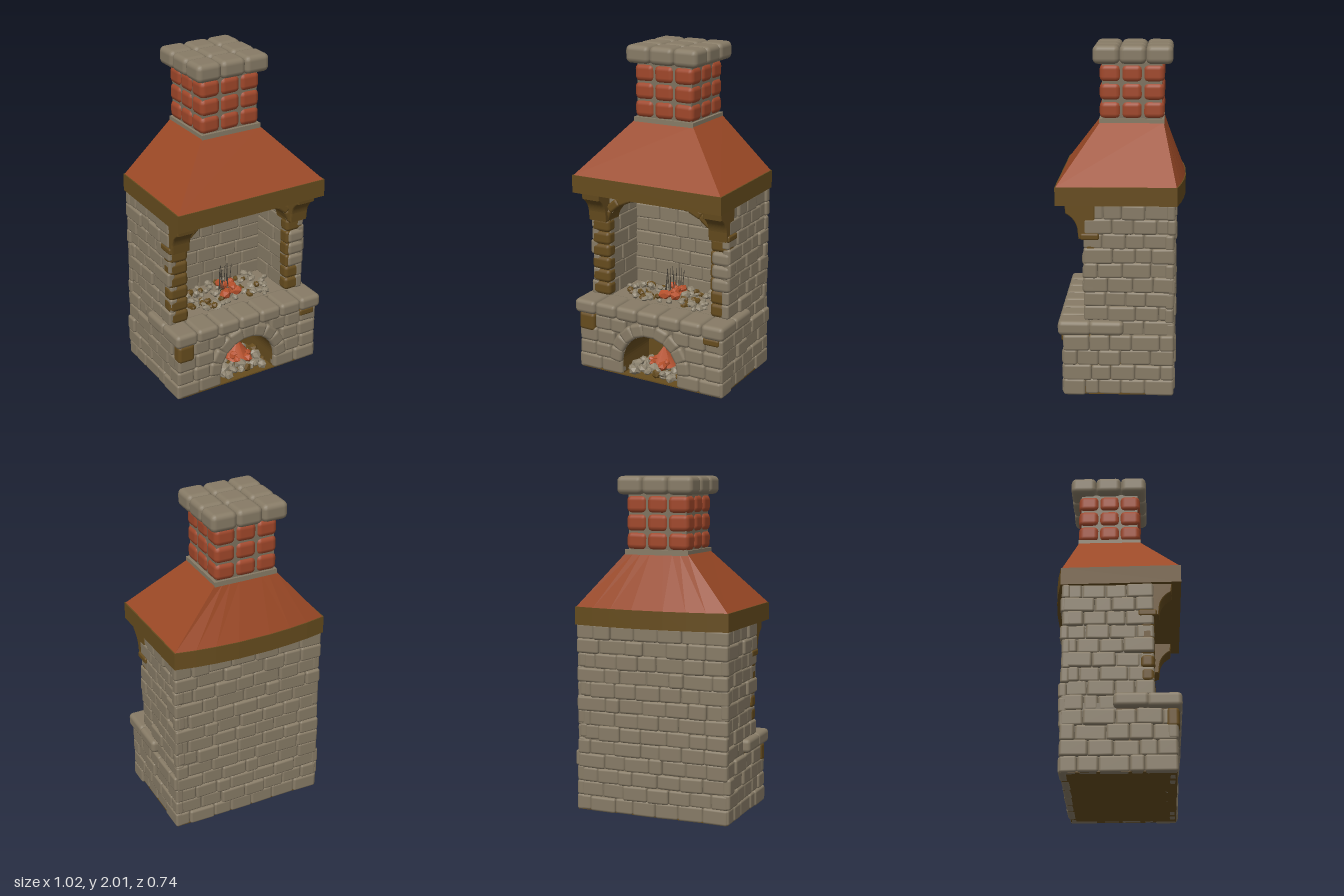
import * as THREE from 'three';
import { mergeGeometries } from 'three/addons/utils/BufferGeometryUtils.js';
import { RoundedBoxGeometry } from 'three/addons/geometries/RoundedBoxGeometry.js';

let seed = 7;
const rnd = (a = 0, b = 1) => {
  seed = (seed * 16807) % 2147483647;
  return a + (b - a) * (seed / 2147483647);
};
const mat = (name, color, side = THREE.FrontSide) => {
  const m = new THREE.MeshStandardMaterial({ color, side });
  m.name = name;
  return m;
};

// One rounded stone between two corners, with a slight tilt
function block(x0, x1, y0, y1, z0, z1, tilt = 0.02) {
  const w = x1 - x0, h = y1 - y0, d = z1 - z0;
  const g = new RoundedBoxGeometry(w, h, d, 2, Math.min(w, h, d) * 0.3);
  g.rotateZ(rnd(-tilt, tilt));
  g.translate((x0 + x1) / 2, (y0 + y1) / 2, (z0 + z1) / 2);
  return g;
}

// Courses of uneven stones in the XY plane, outer faces near z = 0
function panel(w, h, rows, len = 0.13, depth = 0.05, bump = 0.009) {
  const list = [], rh = h / rows;
  for (let r = 0; r < rows; r++) {
    const n = Math.max(1, Math.round(w / len));
    const cuts = [0];
    for (let i = 1; i < n; i++) cuts.push((i + (r % 2 ? 0.2 : -0.2) + rnd(-0.22, 0.22)) * w / n);
    cuts.push(w);
    for (let i = 0; i < n; i++) {
      const lift = rnd(-bump, bump);
      list.push(block(cuts[i], cuts[i + 1], r * rh - rnd(0, 0.004), (r + 1) * rh + rnd(0, 0.006), lift - depth, lift, 0.025));
    }
  }
  return mergeGeometries(list);
}

// Low heap of small irregular lumps
function heap(n, w, y, z0, z1, size) {
  const list = [];
  for (let i = 0; i < n; i++) {
    const g = new THREE.IcosahedronGeometry(rnd(size * 0.6, size), 0);
    g.scale(rnd(0.7, 1.5), rnd(0.6, 1.1), rnd(0.7, 1.4));
    g.rotateY(rnd(0, 6)).rotateZ(rnd(-0.6, 0.6));
    g.translate(rnd(-w, w), y + rnd(-0.01, 0.03), rnd(z0, z1));
    list.push(g);
  }
  return mergeGeometries(list);
}

export function createModel() {
  const root = new THREE.Group();
  root.name = 'stoneFireplace';
  const stone = mat('stone', 0x877b66);
  const mortar = mat('mortar', 0x7d725f);
  const wood = mat('brownStone', 0x664c1e);
  const roof = mat('hoodOrange', 0x9c4926, THREE.DoubleSide);
  const brick = mat('brick', 0xa0472a);
  const ember = mat('ember', 0xb5502b);
  const ash = mat('ash', 0x8d836f);
  const soot = mat('soot', 0x4c463c);
  const add = (name, geo, material) => {
    const m = new THREE.Mesh(geo, material);
    m.name = name;
    root.add(m);
    return m;
  };
  const box = (name, m, x0, x1, y0, y1, z0, z1) => {
    const g = new THREE.BoxGeometry(x1 - x0, y1 - y0, z1 - z0);
    add(name, g.translate((x0 + x1) / 2, (y0 + y1) / 2, (z0 + z1) / 2), m);
  };

  // Base with the arched wood store
  const base = new THREE.Shape();
  base.moveTo(-0.47, 0.003).lineTo(-0.19, 0.003).lineTo(-0.19, 0.09);
  base.absarc(0, 0.09, 0.19, Math.PI, 0, true);
  base.lineTo(0.19, 0.003).lineTo(0.47, 0.003).lineTo(0.47, 0.37).lineTo(-0.47, 0.37);
  add('baseCore', new THREE.ExtrudeGeometry(base, { depth: 0.31, bevelEnabled: false, curveSegments: 16 }), [mortar, wood]);
  box('baseRear', mortar, -0.47, 0.47, 0.003, 0.4, -0.3, 0);
  box('storeBack', wood, -0.2, 0.2, 0.003, 0.3, 0, 0.008);
  box('underside', wood, -0.48, 0.48, 0, 0.008, -0.305, 0.325);

  // Stones on the front of the base
  const front = [], brownFront = [];
  const inner = [0.19, 0.27, 0.24, 0.16];
  for (const s of [-1, 1]) {
    inner.forEach((a, r) => {
      const n = r === 3 ? 3 : 2;
      for (let i = 0; i < n; i++) {
        const p = a + (0.49 - a) * i / n, q = a + (0.49 - a) * (i + 1) / n;
        const brown = s < 0 && i === n - 1 && r > 2;
        (brown ? brownFront : front).push(block(Math.min(s * p, s * q), Math.max(s * p, s * q),
          brown ? 0.25 : r * 0.09, r * 0.09 + 0.095, 0.27, (brown ? 0.34 : 0.333) + rnd(-0.004, 0.006)));
      }
    });
  }
  brownFront.push(block(0.37, 0.475, 0.32, 0.365, 0.28, 0.342));
  for (let i = 0; i < 9; i++) {
    const a = (i + 0.5) * Math.PI / 9;
    const g = block(-0.047, 0.047, 0.19, 0.278, 0.27, 0.34);
    front.push(g.rotateZ(a - Math.PI / 2).translate(0, 0.09, 0));
  }
  add('baseFrontStones', mergeGeometries(front), stone);
  add('baseBrownStones', mergeGeometries(brownFront), wood);

  // Upper walls of the firebox
  box('backWallCore', mortar, -0.46, 0.46, 0.4, 1.14, -0.3, -0.14);
  for (const s of [-1, 1]) {
    box('sideWallCore', mortar, Math.min(s * 0.37, s * 0.46), Math.max(s * 0.37, s * 0.46), 0.4, 1.14, -0.3, 0.19);
    const turn = s * Math.PI / 2;
    add('baseSideStones', panel(0.64, 0.36, 4).rotateY(turn).translate(s * 0.49, 0, s > 0 ? 0.33 : -0.31), stone);
    add('wallSideStones', panel(0.52, 0.77, 9).rotateY(turn).translate(s * 0.473, 0.36, s > 0 ? 0.21 : -0.31), stone);
    add('innerSideStones', panel(0.33, 0.69, 7, 0.14, 0.04, 0.004).rotateY(-turn).translate(s * 0.35, 0.44, s > 0 ? -0.14 : 0.19), stone);
  }
  add('backStones', panel(0.96, 1.13, 13, 0.14).rotateY(Math.PI).translate(0.48, 0, -0.315), stone);
  add('innerBackStones', panel(0.72, 0.69, 8, 0.14, 0.04, 0.004).translate(-0.36, 0.44, -0.12), stone);

  // Hearth shelf
  const shelf = [];
  for (let i = 0; i < 7; i++) {
    shelf.push(block(-0.51 + i * 0.1457, -0.51 + (i + 1) * 0.1457, 0.363, 0.45, 0.165, 0.36, 0.008));
  }
  for (const s of [-1, 1]) shelf.push(block(s > 0 ? 0.38 : -0.512, s > 0 ? 0.512 : -0.38, 0.365, 0.45, -0.02, 0.18, 0.005));
  add('shelfStones', mergeGeometries(shelf), stone);
  box('hearthFloor', stone, -0.37, 0.37, 0.37, 0.445, -0.14, 0.2);

  // Posts beside the firebox opening
  const posts = [], greyPost = [];
  for (let i = 0; i < 6; i++) {
    const y0 = 0.445 + i * 0.081, y1 = y0 + 0.085;
    posts.push(block(-0.472, -0.345, y0, y1, 0.13, 0.212));
    const grey = i > 1 && i < 5;
    posts.push(block(0.345, grey ? 0.4 : 0.468, y0, y1, 0.13, 0.208));
    if (grey) greyPost.push(block(0.355, 0.475, y0, y1, 0.13, 0.218));
  }
  add('postStones', mergeGeometries(posts), wood);
  add('postGreyStones', mergeGeometries(greyPost), stone);

  // Brackets under the beam
  const bracket = new THREE.Shape();
  bracket.moveTo(0.15, 0.935).lineTo(0.232, 0.935).lineTo(0.238, 0.99);
  bracket.quadraticCurveTo(0.25, 1.05, 0.305, 1.08);
  bracket.lineTo(0.312, 1.14).lineTo(0.15, 1.14);
  for (const s of [-1, 1]) {
    const g = new THREE.ExtrudeGeometry(bracket, { depth: 0.1, bevelThickness: 0.01, bevelSize: 0.006, bevelSegments: 2 });
    add('bracket', g.rotateY(-Math.PI / 2).translate(s * 0.41 + 0.05, 0, 0), wood).scale.z = 1;
    add('bracketFoot', block(s * 0.415 - 0.065, s * 0.415 + 0.065, 0.925, 0.965, 0.12, 0.228), wood);
  }

  // Arch over the opening: grey spandrel with brown arch stones
  const span = new THREE.Shape();
  span.moveTo(-0.37, 0.92).lineTo(-0.35, 0.92);
  span.absellipse(0, 0.92, 0.35, 0.18, Math.PI, 0, true);
  span.lineTo(0.37, 0.92).lineTo(0.37, 1.14).lineTo(-0.37, 1.14);
  add('archSpandrel', new THREE.ExtrudeGeometry(span, { depth: 0.1, bevelEnabled: false, curveSegments: 24 }).translate(0, 0, 0.09), [stone, wood]);
  const arch = [];
  const curve = new THREE.EllipseCurve(0, 0.92, 0.375, 0.197, 0, Math.PI);
  for (let i = 0; i < 11; i++) {
    const u = (i + 0.5) / 11, p = curve.getPointAt(u), t = curve.getTangentAt(u);
    const g = block(-0.045, 0.045, -0.025, 0.028, 0.12, 0.215);
    arch.push(g.rotateZ(Math.atan2(t.y, t.x) + Math.PI).translate(p.x, p.y, 0));
  }
  add('archStones', mergeGeometries(arch), wood);

  // Beam ring with a bowed back
  const outline = [[-0.497, 0.368], [0.497, 0.368], [0.483, -0.322], [0.36, -0.345], [0.24, -0.36], [0.1, -0.37],
    [-0.1, -0.37], [-0.24, -0.36], [-0.36, -0.345], [-0.483, -0.322]];
  const ring = new THREE.Shape(outline.map(([x, z]) => new THREE.Vector2(x, -z)));
  add('beamRing', new THREE.ExtrudeGeometry(ring, { depth: 0.107, bevelEnabled: false }).rotateX(-Math.PI / 2).translate(0, 1.127, 0), wood);

  // Sloping hood lofted from the beam to the chimney
  const low = outline.map(([x, z]) => [x * 0.985, 1.234, z * 0.985]);
  const high = outline.map(([x, z]) => [-0.008 + 0.195 * Math.max(-1, Math.min(1, x / 0.483)), 1.555, z > 0 ? 0.13 : -0.238]);
  const pos = [];
  low.forEach((a, i) => {
    const j = (i + 1) % low.length;
    pos.push(...a, ...low[j], ...high[j], ...a, ...high[j], ...high[i]);
  });
  const hood = new THREE.BufferGeometry();
  hood.setAttribute('position', new THREE.Float32BufferAttribute(pos, 3));
  hood.computeVertexNormals();
  add('hood', hood, roof);

  // Brick chimney and stone cap, each laid three by three
  box('chimneyMortar', mortar, -0.19, 0.172, 1.54, 1.9, -0.228, 0.118);
  box('chimneyCollar', stone, -0.205, 0.19, 1.545, 1.575, -0.242, 0.136);
  const bricks = [], cap = [];
  for (let i = 0; i < 3; i++) for (let k = 0; k < 3; k++) {
    for (let r = 0; r < 3 && (i !== 1 || k !== 1); r++) {
      const x = -0.205 + i * 0.131, z = -0.243 + k * 0.126, y = 1.573 + r * 0.106;
      bricks.push(block(x, x + 0.128, y, y + 0.104, z, z + 0.124, 0.03));
    }
    const x = -0.245 + i * 0.157, z = -0.29 + k * 0.153;
    cap.push(block(x - 0.001, x + 0.158, 1.893, 2, z - 0.001, z + 0.155, 0.004));
  }
  add('chimneyBricks', mergeGeometries(bricks), brick);
  add('chimneyCap', mergeGeometries(cap), stone);

  // Fires: ash, charred wood, embers and thin twigs
  add('hearthAsh', heap(70, 0.31, 0.455, -0.09, 0.17, 0.026), ash);
  add('hearthLogs', heap(24, 0.28, 0.455, -0.08, 0.17, 0.026), wood);
  add('hearthEmbers', heap(14, 0.055, 0.485, 0, 0.1, 0.032).translate(0.02, 0, 0), ember);
  add('storeAsh', heap(45, 0.16, 0.03, 0.06, 0.3, 0.034), ash);
  add('storeLogs', heap(12, 0.15, 0.04, 0.08, 0.28, 0.034), wood);
  const glow = new THREE.ConeGeometry(0.09, 0.12, 7).translate(0.02, 0.125, 0.17);
  add('storeEmbers', mergeGeometries([glow.toNonIndexed(), heap(8, 0.07, 0.08, 0.16, 0.25, 0.03)]), ember);
  const twigs = [];
  for (let i = 0; i < 10; i++) {
    const g = new THREE.CylinderGeometry(0.002, 0.003, rnd(0.12, 0.18), 5);
    twigs.push(g.translate(0, 0.08, 0).rotateZ(rnd(-0.12, 0.12)).translate(-0.045 + i * 0.011, 0.475, rnd(0, 0.06)));
  }
  add('twigs', mergeGeometries(twigs), soot);
  return root;
}
